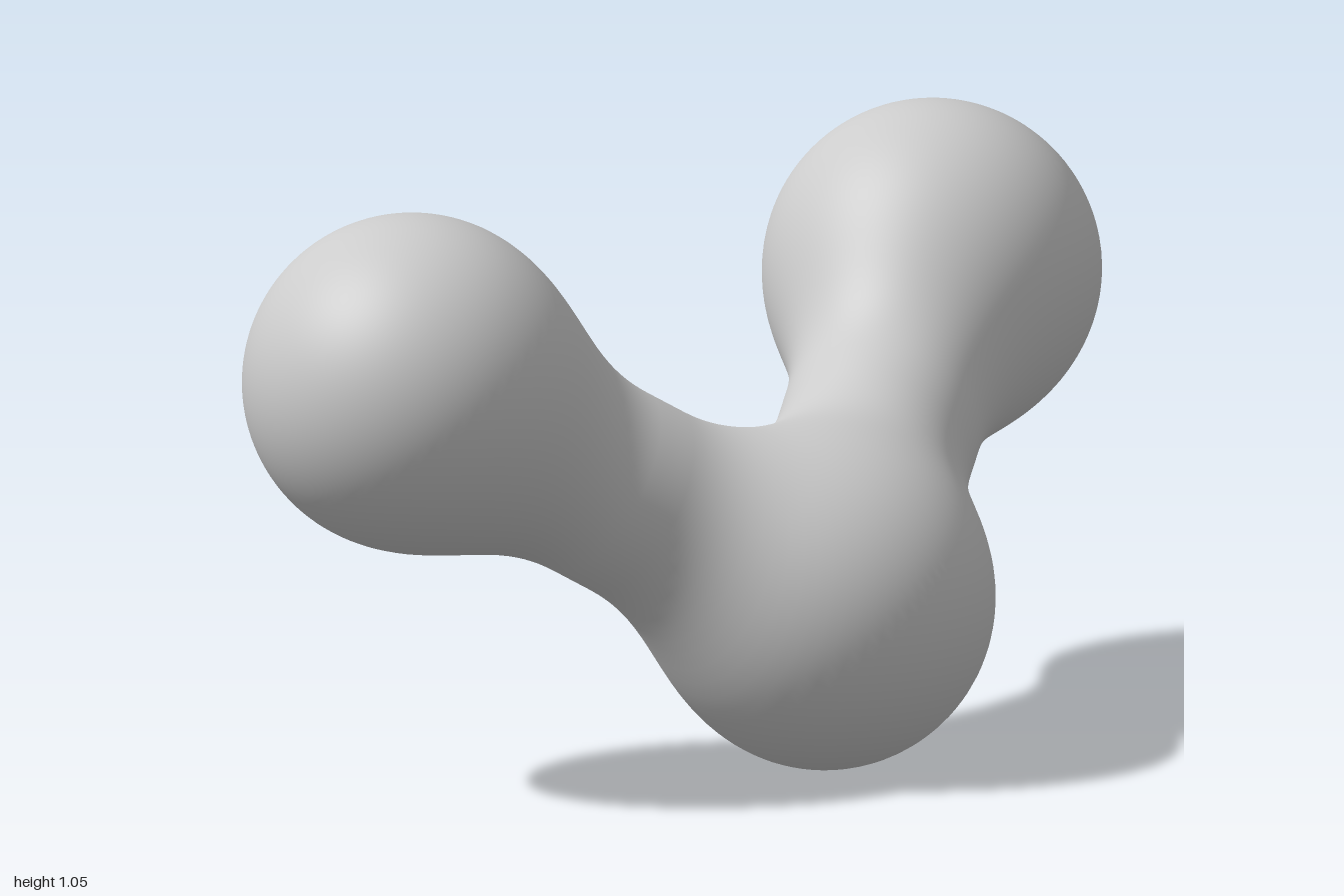
import * as THREE from 'three';

// Three equal balls joined by two rods, all melted into a bent, V-shaped body
const BALL = 0.299;
const ROD = 0.178;
const BLEND = 0.15;
const MIDDLE = new THREE.Vector3(0.179, 0.301, 0);
const FRONT = new THREE.Vector3(-0.179, 0.75, 0.7);
const BACK = new THREE.Vector3(-0.179, 0.75, -0.7);
const RODS = [new THREE.Line3(MIDDLE, FRONT), new THREE.Line3(MIDDLE, BACK)];

function smoothMin(a, b) {
  const h = Math.max(BLEND - Math.abs(a - b), 0) / BLEND;
  return Math.min(a, b) - h * h * BLEND / 4;
}

// Distance field of the blended balls and rods
function field(p) {
  const balls = [MIDDLE, FRONT, BACK].map((c) => p.distanceTo(c) - BALL);
  const nearest = new THREE.Vector3();
  const rods = RODS.map((rod) => rod.closestPointToPoint(p, true, nearest).distanceTo(p) - ROD);
  return smoothMin(smoothMin(Math.min(...balls), rods[0]), rods[1]);
}

function gradient(p) {
  const e = 1e-4;
  const g = ['x', 'y', 'z'].map((k) => {
    const hi = p.clone(), lo = p.clone();
    hi[k] += e;
    lo[k] -= e;
    return field(hi) - field(lo);
  });
  return new THREE.Vector3(...g).normalize();
}

// Walk outward from the spine until the skin is reached
function skinPoint(origin, dir) {
  const p = origin.clone();
  for (let i = 0; i < 80; i++) {
    const d = field(p);
    if (Math.abs(d) < 1e-6) break;
    p.addScaledVector(dir, -d);
  }
  return p;
}

// Cross-section planes along the spine: front cap, two arms, back cap
function spineSections() {
  const zAxis = new THREE.Vector3(0, 0, 1);
  const arm = FRONT.clone().sub(MIDDLE);
  const inward = new THREE.Vector3(arm.x, arm.y, 0).normalize();
  const bend = Math.acos(arm.z / arm.length());
  const sections = [];
  const add = (s, tilt) => {
    const origin = MIDDLE.clone().lerp(s > 0 ? FRONT : BACK, Math.abs(s));
    const turn = bend * THREE.MathUtils.clamp(s * 2, -1, 1);
    const normal = zAxis.clone().multiplyScalar(Math.cos(turn)).addScaledVector(inward, Math.sin(turn));
    sections.push({ origin, normal, tilt });
  };
  const capRows = 28, armRows = 100;
  for (let i = 0; i < capRows; i++) add(1, (1 - i / capRows) * Math.PI / 2);
  for (let i = 0; i <= armRows; i++) add(1 - 2 * i / armRows, 0);
  for (let i = 1; i <= capRows; i++) add(-1, -(i / capRows) * Math.PI / 2);
  return { sections, side: inward.clone().cross(zAxis).normalize() };
}

function blendedBody() {
  const { sections, side } = spineSections();
  const around = 96;
  const positions = [], normals = [], index = [];
  sections.forEach(({ origin, normal, tilt }, i) => {
    const up = normal.clone().cross(side);
    for (let j = 0; j <= around; j++) {
      const a = j / around * Math.PI * 2;
      const dir = side.clone().multiplyScalar(Math.cos(a)).addScaledVector(up, Math.sin(a))
        .multiplyScalar(Math.cos(tilt)).addScaledVector(normal, Math.sin(tilt));
      const p = skinPoint(origin, dir);
      positions.push(p.x, p.y, p.z);
      normals.push(...gradient(p).toArray());
      if (i < sections.length - 1 && j < around) {
        const k = i * (around + 1) + j, n = k + around + 1;
        index.push(k, n, k + 1, n, n + 1, k + 1);
      }
    }
  });
  const geometry = new THREE.BufferGeometry();
  geometry.setAttribute('position', new THREE.Float32BufferAttribute(positions, 3));
  geometry.setAttribute('normal', new THREE.Float32BufferAttribute(normals, 3));
  geometry.setIndex(index);
  return geometry;
}

export function createModel() {
  const group = new THREE.Group();
  const body = new THREE.Mesh(blendedBody(), new THREE.MeshStandardMaterial({ color: 0xcccccc }));
  body.name = 'blendedBalls';
  group.add(body);
  return group;
}
